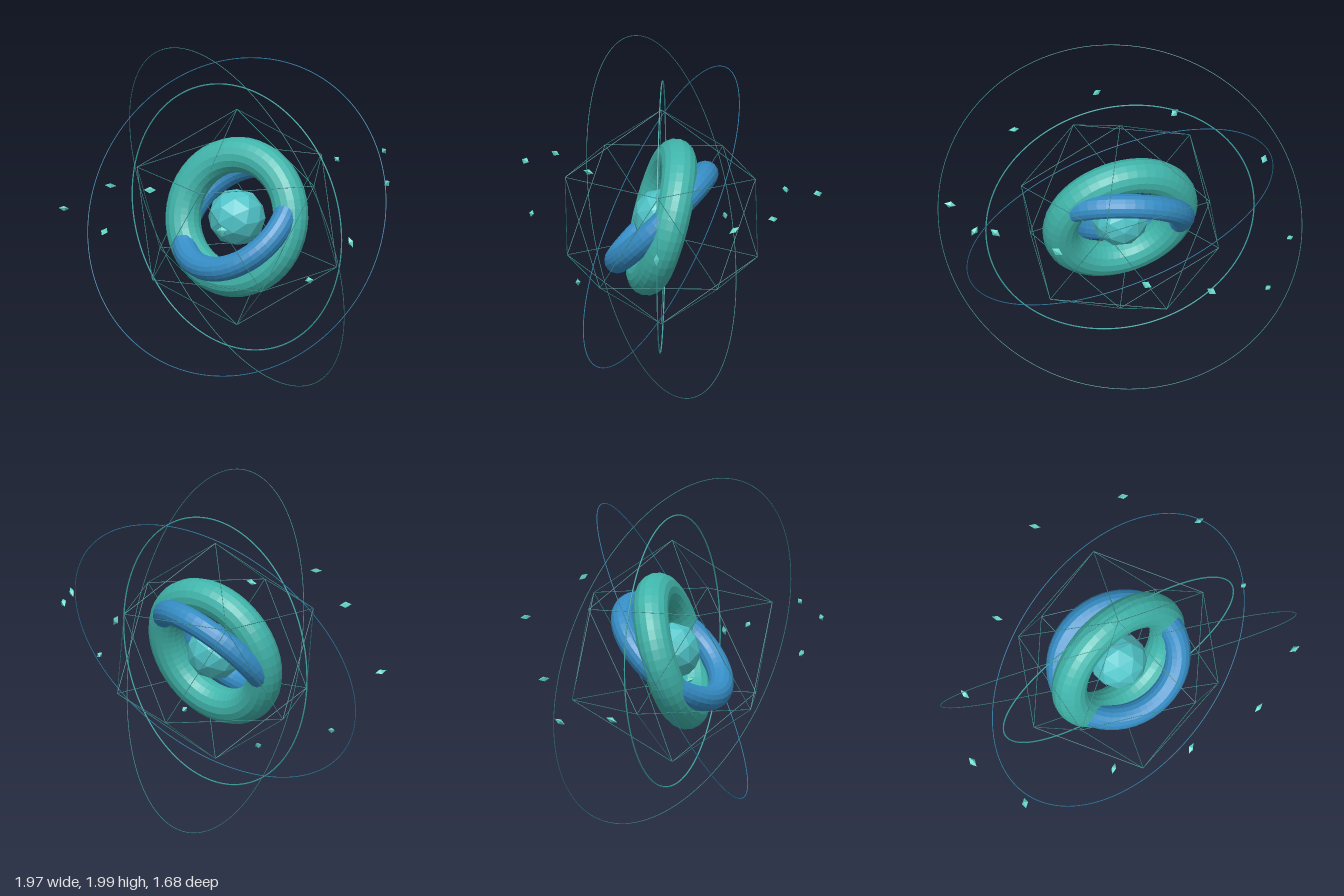
import * as THREE from 'three';

const UP = new THREE.Vector3(0, 1, 0);
const FRONT = new THREE.Vector3(0, 0, 1);

function addMesh(parent, name, geometry, color, flatShading = true) {
  const material = new THREE.MeshStandardMaterial({ color, flatShading });
  const mesh = new THREE.Mesh(geometry, material);
  mesh.name = name;
  parent.add(mesh);
  return mesh;
}

// A torus around the centre whose axis points along the given normal
function addRing(parent, name, radius, tube, sides, segments, normal, color, flat) {
  const mesh = addMesh(parent, name, new THREE.TorusGeometry(radius, tube, sides, segments), color, flat);
  mesh.quaternion.setFromUnitVectors(FRONT, new THREE.Vector3(...normal).normalize());
  return mesh;
}

// Thin straight rod between two points
function addRod(parent, name, a, b, radius, color) {
  const dir = b.clone().sub(a);
  const rod = addMesh(parent, name, new THREE.CylinderGeometry(radius, radius, dir.length(), 5), color, false);
  rod.position.copy(a).add(b).multiplyScalar(0.5);
  rod.quaternion.setFromUnitVectors(UP, dir.normalize());
}

// Icosahedron frame standing on one corner
function createCage(radius) {
  const cage = new THREE.Group();
  cage.name = 'wireCage';
  const ringY = radius / Math.sqrt(5);
  const corners = [new THREE.Vector3(0, radius, 0), new THREE.Vector3(0, -radius, 0)];
  for (let i = 0; i < 10; i++) {
    const a = (i * Math.PI) / 5;
    corners.push(new THREE.Vector3(2 * ringY * Math.cos(a), i % 2 ? -ringY : ringY, 2 * ringY * Math.sin(a)));
  }
  const edge = radius * 1.0515;
  corners.forEach((a, i) => {
    for (const b of corners.slice(i + 1)) {
      if (Math.abs(a.distanceTo(b) - edge) < 0.01) addRod(cage, 'cageEdge', a, b, 0.002, 0x3d8f8c);
    }
  });
  return cage;
}

export function createModel() {
  const model = new THREE.Group();
  model.name = 'orbitalCore';

  const centre = new THREE.Group();
  centre.name = 'centre';
  centre.position.set(0, 1.003, 0.057);
  model.add(centre);

  // Faceted core and the two interlocked thick rings
  addMesh(centre, 'core', new THREE.IcosahedronGeometry(0.162, 1), 0x4fc3c7);
  addRing(centre, 'greenRing', 0.35, 0.1, 16, 48, [0.13, 0.27, 0.95], 0x40b5ab);
  addRing(centre, 'blueRing', 0.35, 0.07, 16, 48, [-0.11, 0.7, 0.7], 0x358cc4);

  centre.add(createCage(0.627));

  // Fine orbit hoops
  addRing(centre, 'innerOrbit', 0.762, 0.004, 6, 128, [0, 0, 1], 0x3fa5a5, false);
  addRing(centre, 'middleOrbit', 0.913, 0.0025, 6, 128, [0.2, 0.447, 0.872], 0x2f7fa8, false);
  addRing(centre, 'outerOrbit', 1.028, 0.002, 6, 128, [-0.288, -0.254, 0.923], 0x3d8f8c, false);

  // Floating shards: position, then direction of the long axis
  const shards = [
    [0, 1.15, -0.82, 0.7, 0.1, 0.7],
    [0.48, 1.32, -0.655, 0.8, 0.4, 0.5],
    [-0.415, 0.87, -0.555, 0.6, 0.1, 0.8],
    [-0.775, 0.69, -0.325, 0.3, -0.5, 0.8],
    [0.775, 1.255, -0.325, 0.7, 0.6, 0.25],
    [-0.965, 0.745, 0.057, 0.2, -0.4, 0.9],
    [0.828, 1.005, 0.057, -0.5, 0.85, 0],
    [-0.895, 0.987, 0.495, -0.4, 0.2, 0.9],
    [0.89, 0.89, 0.495, 1, 0.3, 0.1],
    [-0.415, 1.243, 0.665, -0.65, 0.1, 0.65],
    [0.48, 1.165, 0.768, 1, 0.15, -0.3],
    [0, 1.325, 0.82, 0.8, 0, -0.6],
  ];
  const shardGeometry = new THREE.OctahedronGeometry(1).scale(0.02, 0.034, 0.015);
  for (const [x, y, z, ...axis] of shards) {
    const shard = addMesh(model, 'shard', shardGeometry, 0x66d9cc);
    shard.position.set(x, y, z);
    shard.quaternion.setFromUnitVectors(UP, new THREE.Vector3(...axis).normalize());
  }
  return model;
}
